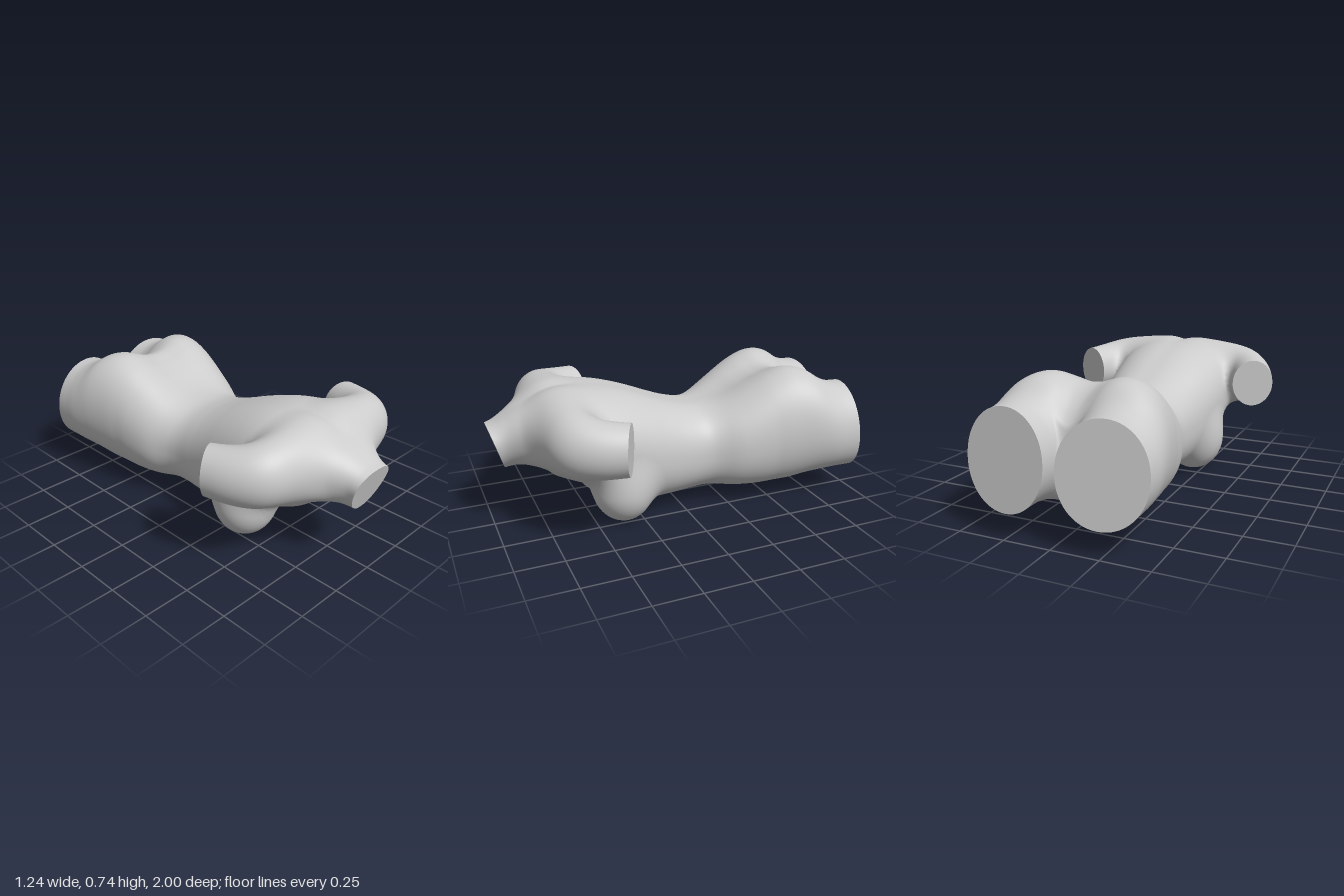
import * as THREE from 'three';

const { lerp, clamp, smoothstep } = THREE.MathUtils;

// Smooth lookup in a table of rows [z, a, b, c...] with z falling.
function lookup(rows, z) {
  const n = rows.length;
  if (z >= rows[0][0]) return rows[0].slice(1);
  if (z <= rows[n - 1][0]) return rows[n - 1].slice(1);
  let i = 0;
  while (z < rows[i + 1][0]) i++;
  const p = rows[i], q = rows[i + 1], o = rows[Math.max(i - 1, 0)], r = rows[Math.min(i + 2, n - 1)];
  const d = q[0] - p[0], t = (z - p[0]) / d;
  return p.slice(1).map((a, k) => {
    const b = q[k + 1];
    const m0 = d * (b - o[k + 1]) / (q[0] - o[0]), m1 = d * (r[k + 1] - a) / (r[0] - p[0]);
    return a + t * m0 + t * t * (3 * (b - a) - 2 * m0 - m1) + t * t * t * (2 * (a - b) + m0 + m1);
  });
}

// Torso sections: z, half width, top, bottom
const TORSO = [
  [1.05, .128, .55, .305], [.97, .126, .575, .315], [.92, .138, .602, .327], [.86, .185, .637, .34],
  [.8, .26, .667, .34], [.74, .315, .693, .32], [.7, .335, .706, .285], [.6, .355, .724, .235],
  [.5, .36, .726, .19], [.4, .35, .712, .13], [.3, .338, .685, .08], [.2, .322, .65, .05], [.1, .303, .61, .047],
  [0, .29, .575, .053], [-.1, .287, .555, .062], [-.2, .31, .563, .069], [-.3, .345, .592, .067],
  [-.4, .36, .635, .062], [-.5, .34, .67, .066], [-.6, .29, .685, .073], [-.75, .2, .6, .13], [-.85, .09, .49, .23],
];
// Buttock and thigh sections: z, centre x, half width, top, bottom
const THIGH = [
  [0, .09, .03, .36, .28], [-.12, .12, .1, .46, .18], [-.25, .16, .165, .55, .11], [-.4, .185, .2, .65, .09],
  [-.5, .193, .22, .705, .085], [-.6, .2, .235, .735, .088], [-.7, .22, .235, .72, .11],
  [-.8, .238, .23, .66, .126], [-.88, .248, .221, .633, .132], [-1.05, .25, .221, .63, .13],
];
// Loft stations: z, axis x, axis y, slant along x, slant along y
const AXIS = [
  [.962, .05, .445, 0, .31], [.9, .07, .46, 0, .24], [.8, .1, .5, 0, .08], [.7, .13, .48, 0, 0],
  [.6, .15, .45, 0, 0], [.4, .15, .38, 0, 0], [0, .13, .32, 0, 0], [-.3, .16, .33, 0, 0],
  [-.6, .2, .4, 0, 0], [-.75, .23, .39, .01, .01], [-.88, .248, .383, .07, .07], [-.965, .25, .38, .11, .1],
];
// Shoulder and upper arm: a smooth path with a radius at each point
const ARM_PATH = new THREE.CatmullRomCurve3([
  [.1, .55, .645], [.27, .545, .648], [.39, .536, .625], [.465, .53, .54], [.517, .53, .41], [.565, .53, .29],
].map(p => new THREE.Vector3(...p)));
const ARM_RADIUS = [.15, .15, .142, .126, .114, .108];
const armRadius = t => {
  const i = Math.min(Math.floor(t * 5), 4);
  return lerp(ARM_RADIUS[i], ARM_RADIUS[i + 1], t * 5 - i);
};
const ARM = Array.from({ length: 21 }, (_, i) => [...ARM_PATH.getPoint(i / 20).toArray(), armRadius(i / 20)]);

const smin = (a, b, k) => {
  const h = Math.max(k - Math.abs(a - b), 0) / k;
  return Math.min(a, b) - h * h * k / 4;
};

// Rounded section; a positive taper narrows it towards the bottom
function oval(x, y, w, top, bottom, n, taper = 0) {
  const h = (top - bottom) / 2, v = (y - (top + bottom) / 2) / h;
  const u = x / (w * (1 + taper * clamp(v, -1.5, 1.5)));
  return (Math.pow(Math.pow(Math.abs(u), n) + Math.pow(Math.abs(v), n), 1 / n) - 1) * Math.min(w, h);
}

// Arm form: distance to the softly weighted nearest part of the path
function armForm(x, y, z) {
  const d2 = ARM.map(a => (x - a[0]) ** 2 + (y - a[1]) ** 2 + (z - a[2]) ** 2), least = Math.min(...d2);
  let sum = 0, cx = 0, cy = 0, cz = 0, r = 0;
  ARM.forEach((a, i) => {
    const w = Math.exp((least - d2[i]) / .003);
    sum += w; cx += w * a[0]; cy += w * a[1]; cz += w * a[2]; r += w * a[3];
  });
  return Math.hypot(x - cx / sum, (y - cy / sum) * .87, z - cz / sum) - r / sum;
}

// Blended body form: negative inside, positive outside
function form(x, y, z) {
  const ax = Math.abs(x), neck = smoothstep(z, .75, .95);
  const [w, top, bottom] = lookup(TORSO, z);
  let f = oval(x, y, w, top, bottom, 2.3 - .2 * neck, .2 * neck);
  f += .005 * Math.exp(-((x / .07) ** 2)) * smoothstep(y, .45, .6); // spine furrow
  f += Math.max(0, -.82 - z) * 1.8; // the torso ends between the thighs
  if (z < 0) {
    const [cx, r, t, b] = lookup(THIGH, z), k = .04 + .06 * smoothstep(z, -.85, -.6);
    f = smin(f, smin(oval(x - cx, y, r, t, b, 2.05), oval(x + cx, y, r, t, b, 2.05), k), .06);
  }
  if (z > .05) {
    const breast = (Math.hypot((ax - .188) / .175, (y - .199) / .199, (z - .345) / .168) - 1) * .168;
    f = smin(f, breast, .065);
    f = smin(f, armForm(ax, y, z), .065);
  }
  return f;
}

// Distance along a ray at which it leaves the form
function exit(at, limit) {
  const inside = t => form(...at(t)) < 0;
  let t = 0;
  while (t < limit && inside(t)) t += .015;
  if (t === 0) return 0;
  if (t >= limit && inside(limit)) return limit;
  let lo = t - .015, hi = Math.min(t, limit);
  for (let i = 0; i < 11; i++) {
    const m = (lo + hi) / 2;
    if (inside(m)) lo = m; else hi = m;
  }
  return lo;
}

// Rings of one body half, from the neck to the cut thigh
function bodyRings(count = 160, sides = 84) {
  const rings = [];
  for (let i = 0; i <= count; i++) {
    const z0 = lerp(.962, -.965, i / count);
    const [cx, cy, kx, ky] = lookup(AXIS, z0);
    const place = (x, y) => [x, y, z0 + kx * (x - cx) + ky * (y - cy)];
    const up = exit(t => place(0, cy + t), .6), down = exit(t => place(0, cy - t), .6);
    const a0 = Math.atan2(up, -cx), a1 = -Math.atan2(down, -cx);
    const xMax = z0 > .3 ? .375 : 1, ring = [];
    for (let j = 0; j <= sides; j++) {
      const a = a0 + (a1 - a0) * j / sides, c = Math.cos(a), s = Math.sin(a);
      const limit = c > 1e-6 ? Math.min(.7, (xMax - cx) / c) : c < -1e-6 ? Math.min(.7, -cx / c) : .7;
      const at = t => place(cx + t * c, cy + t * s);
      ring.push(new THREE.Vector3(...at(exit(at, limit))));
    }
    rings.push(ring);
  }
  return rings;
}

// Rings of one arm, from inside the shoulder to the cut
function armRings(count = 60, sides = 64) {
  const rings = [], up = new THREE.Vector3(0, 1, 0);
  for (let i = 0; i <= count; i++) {
    const u = lerp(.15, .8, i / count), p = ARM_PATH.getPoint(u), T = ARM_PATH.getTangent(u);
    T.lerp(new THREE.Vector3(.45, 0, -.89), smoothstep(u, .6, .8));
    const U = up.clone().cross(T.negate()).normalize(), ring = [];
    for (let j = 0; j <= sides; j++) {
      const a = Math.PI * (1 - 2 * j / sides), c = Math.cos(a), s = Math.sin(a);
      const at = t => [p.x + t * c * U.x, p.y + t * s, p.z + t * c * U.z];
      ring.push(new THREE.Vector3(...at(exit(at, armRadius(u) * 1.35))));
    }
    rings.push(ring);
  }
  return rings;
}

function build(points, index, side, normals) {
  const g = new THREE.BufferGeometry();
  const flat = list => new THREE.Float32BufferAttribute(list.flatMap(p => [p.x * side, p.y, p.z]), 3);
  g.setAttribute('position', flat(points));
  if (side < 0) for (let i = 0; i < index.length; i += 3) [index[i], index[i + 1]] = [index[i + 1], index[i]];
  g.setIndex(index);
  if (normals) g.setAttribute('normal', flat(normals)); else g.computeVertexNormals();
  return g;
}

// Skin over rings, with normals taken from the blended form
function skin(rings, side) {
  const n = rings[0].length, index = [], e = .004;
  for (let i = 0; i < rings.length - 1; i++) {
    for (let j = 0; j < n; j++) {
      const k = (j + 1) % n, a = i * n + j, b = i * n + k;
      index.push(a, b, a + n, b, b + n, a + n);
    }
  }
  const points = rings.flat();
  const normals = points.map(({ x, y, z }) => new THREE.Vector3(
    form(x + e, y, z) - form(x - e, y, z),
    form(x, y + e, z) - form(x, y - e, z),
    form(x, y, z + e) - form(x, y, z - e)).normalize());
  return build(points, index, side, normals);
}

// Flat face closing a cut
function cap(ring, side, first) {
  const n = ring.length, index = [];
  const mid = ring.reduce((s, p) => s.add(p), new THREE.Vector3()).divideScalar(n);
  for (let j = 0; j < n; j++) {
    const k = (j + 1) % n;
    index.push(n, first ? k : j, first ? j : k);
  }
  return build([...ring, mid], index, side);
}

export function createModel() {
  const model = new THREE.Group();
  model.name = 'torso';
  const material = new THREE.MeshStandardMaterial({ color: 0xcccccc });
  const add = (name, geometry) => {
    const mesh = new THREE.Mesh(geometry, material);
    mesh.name = name;
    model.add(mesh);
  };
  const body = bodyRings(), arm = armRings();
  for (const [name, side] of [['left', 1], ['right', -1]]) {
    add(name + 'Body', skin(body, side));
    add(name + 'NeckCut', cap(body[0], side, true));
    add(name + 'ThighCut', cap(body.at(-1), side, false));
    add(name + 'Arm', skin(arm, side));
    add(name + 'ArmCut', cap(arm.at(-1), side, false));
  }
  return model;
}
